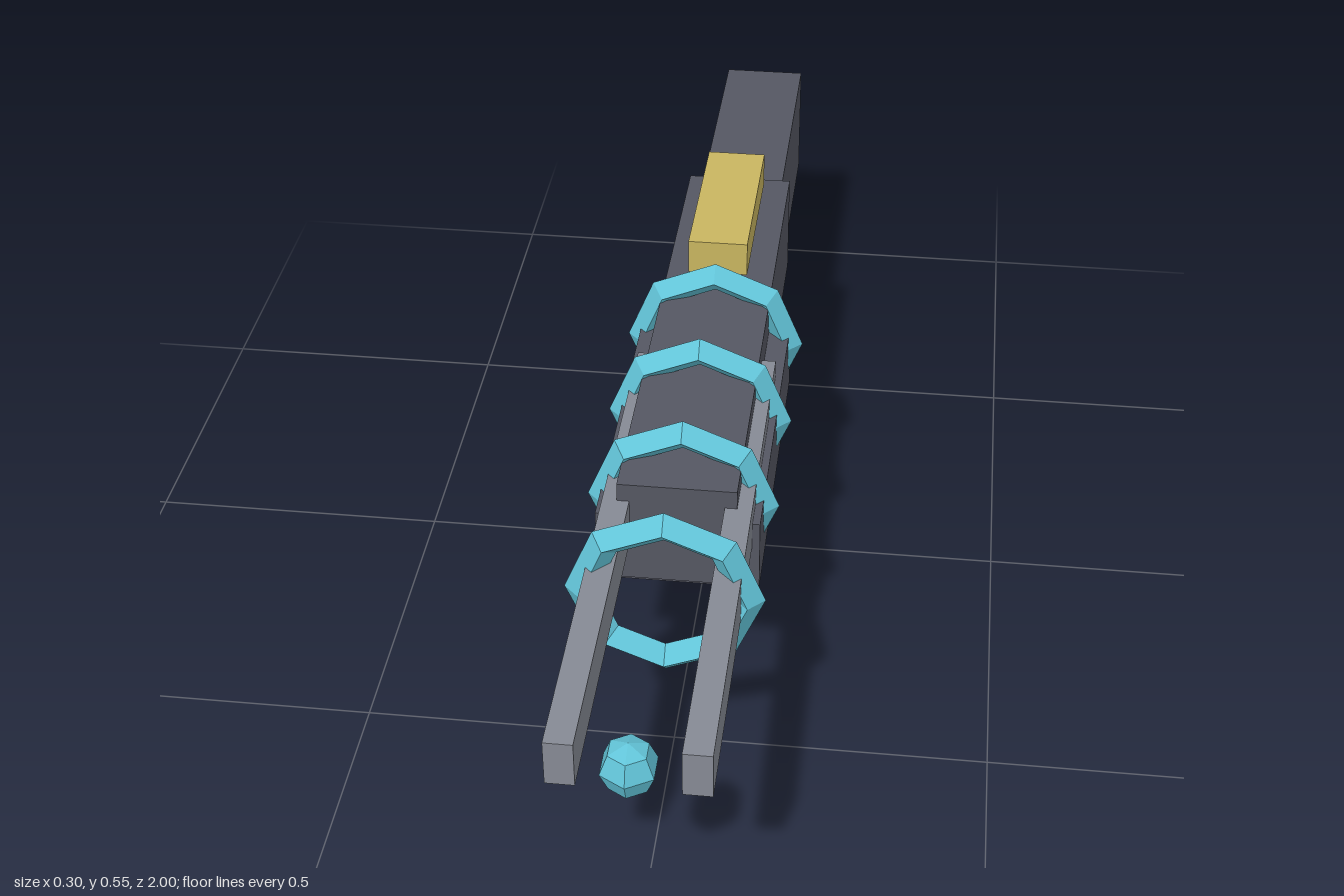
import * as THREE from 'three';

const material = (name, color) => {
  const m = new THREE.MeshStandardMaterial({ color, flatShading: true });
  m.name = name;
  return m;
};

export function createModel() {
  const model = new THREE.Group();
  const darkMetal = material('dark metal', 0x555762);
  const railMetal = material('rail metal', 0x868a94);
  const brass = material('brass', 0xc8b560);
  const wood = material('orange wood', 0xd69d46);
  const energy = material('energy blue', 0x62c4d8);

  const add = (name, geometry, mat) => {
    const mesh = new THREE.Mesh(geometry, mat);
    mesh.name = name;
    model.add(mesh);
    return mesh;
  };

  // Box given by its lower and upper limits on each axis
  const box = (name, mat, [x0, x1], [y0, y1], [z0, z1]) => {
    const mesh = add(name, new THREE.BoxGeometry(x1 - x0, y1 - y0, z1 - z0), mat);
    mesh.position.set((x0 + x1) / 2, (y0 + y1) / 2, (z0 + z1) / 2);
    return mesh;
  };

  // Main housing
  box('receiver', darkMetal, [-0.092, 0.092], [0.28, 0.461], [-0.5, 0.438]);
  box('stock', darkMetal, [-0.074, 0.074], [0.213, 0.425], [-1, -0.498]);
  box('foregrip', darkMetal, [-0.127, 0.127], [0.275, 0.4], [-0.125, 0.435]);
  box('sight', brass, [-0.05, 0.05], [0.49, 0.55], [-0.435, -0.125]);

  // Twin rails
  for (const [name, s] of [['leftRail', 1], ['rightRail', -1]]) {
    const rail = box(name, railMetal, [0.073, 0.115], [0.355, 0.43], [0.04, 0.965]);
    rail.position.x *= s;
  }

  // Slanted handle
  const tilt = 0.209, length = 0.27;
  const grip = add('grip', new THREE.BoxGeometry(0.124, length, 0.13), wood);
  grip.rotation.x = -tilt;
  grip.position.set(0, 0.0165 + Math.cos(tilt) * length / 2, -0.4465 - Math.sin(tilt) * length / 2);

  // Octagonal coils along the barrel
  const ringGeometry = new THREE.TorusGeometry(0.125, 0.025, 4, 8);
  for (let i = 0; i < 4; i++) {
    add('coil' + (i + 1), ringGeometry, energy).position.set(0, 0.38, -0.09 + i * 0.225);
  }

  // Faceted orb between the rail tips
  const orb = add('orb', new THREE.SphereGeometry(0.043, 6, 4), energy);
  orb.rotation.y = Math.PI / 2;
  orb.position.set(0, 0.392, 0.957);

  return model;
}
